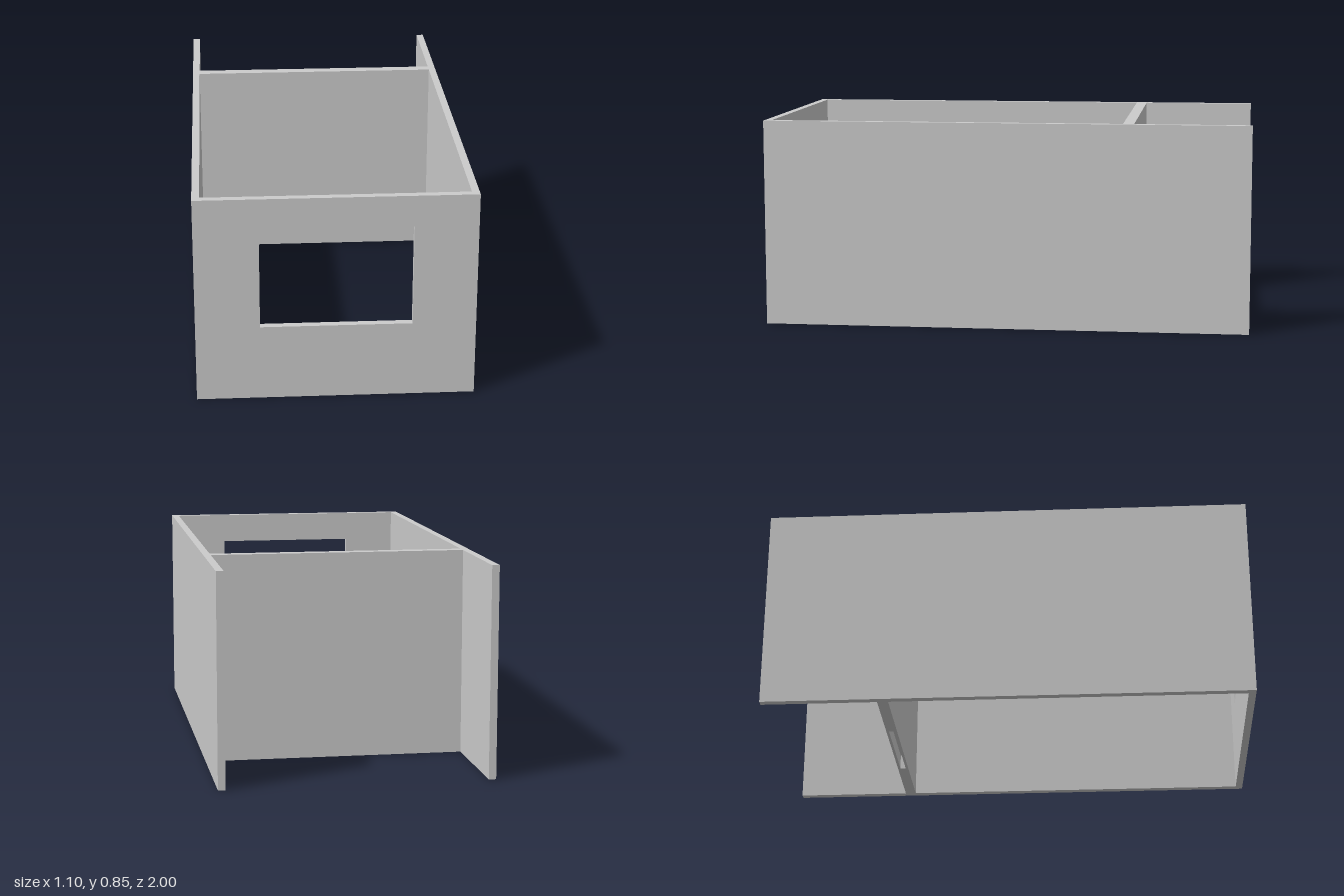
import * as THREE from 'three';

const material = new THREE.MeshStandardMaterial({ color: 0xcccccc, flatShading: true });
const W = 1.1, H = 0.85, T = 0.03; // overall width, height, wall thickness
const INNER = W - 2 * T;

function add(group, name, geometry, x = 0, y = 0, z = 0) {
  const mesh = new THREE.Mesh(geometry, material);
  mesh.name = name;
  mesh.position.set(x, y, z);
  group.add(mesh);
}

// Outline from corner points
const outline = (pts) => pts.map(([x, y]) => new THREE.Vector2(x, y));

const slab = (shape, depth) => new THREE.ExtrudeGeometry(shape, { depth, bevelEnabled: false });

export function createModel() {
  const model = new THREE.Group();
  model.name = 'openBoxWithWindow';

  // Front wall with its rectangular window
  const front = new THREE.Shape(outline([[-W / 2, 0], [W / 2, 0], [W / 2, H], [-W / 2, H]]));
  front.holes.push(new THREE.Path(outline([[-0.297, 0.31], [-0.297, 0.723], [0.3, 0.723], [0.3, 0.31]])));
  add(model, 'frontWall', slab(front, T), 0, 0, 1 - T);

  // Side walls, running past the partition to the open back
  for (const [name, side] of [['leftWall', 1], ['rightWall', -1]]) {
    add(model, name, new THREE.BoxGeometry(T, H, 2 - T), side * (W - T) / 2, H / 2, -T / 2);
  }

  // Partition: two skins around a core with a narrow slot in its underside
  const partition = new THREE.Group();
  partition.name = 'partition';
  const skin = 0.011, core = 0.023, back = -0.525;
  add(partition, 'partitionBackSkin', new THREE.BoxGeometry(INNER, H, skin), 0, H / 2, back + skin / 2);
  add(partition, 'partitionFrontSkin', new THREE.BoxGeometry(INNER, H, skin), 0, H / 2, back + skin * 1.5 + core);
  const h = INNER / 2, s = 0.21, top = 0.06;
  const coreShape = new THREE.Shape(outline([
    [-h, 0], [-s, 0], [-s, top], [s, top], [s, 0], [h, 0], [h, H], [-h, H],
  ]));
  add(partition, 'partitionCore', slab(coreShape, core), 0, 0, back + skin);
  model.add(partition);

  return model;
}
